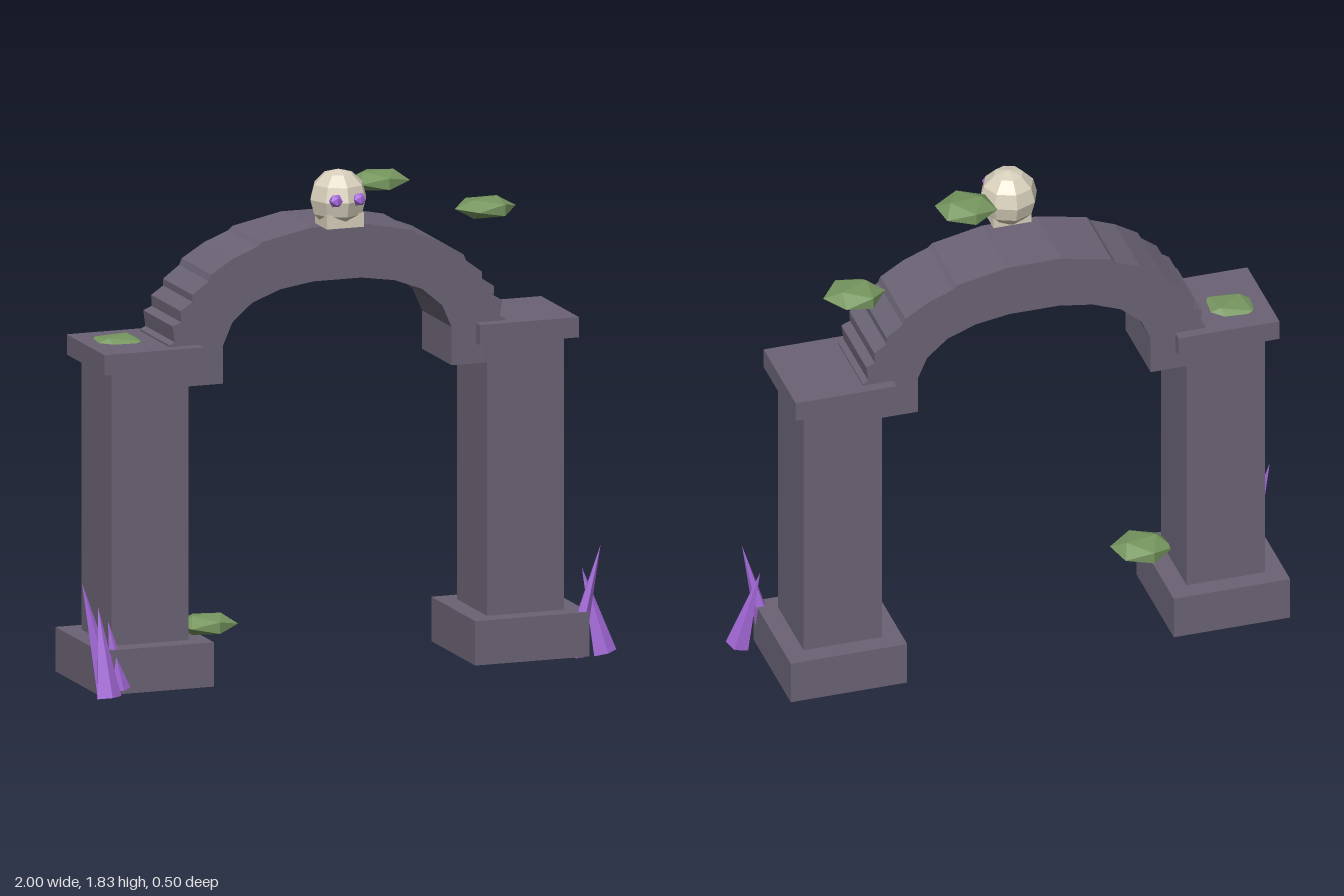
import * as THREE from 'three';

const mat = (name, color) => {
  const m = new THREE.MeshStandardMaterial({ color });
  m.name = name;
  return m;
};

// Faceted copy of a geometry: one normal per face
function faceted(geo) {
  const g = geo.index ? geo.toNonIndexed() : geo;
  g.computeVertexNormals();
  return g;
}

export function createModel() {
  const model = new THREE.Group();
  model.name = 'ruinedArch';
  const stone = mat('stone', 0x6b6375);
  const bone = mat('bone', 0xd8d0bc);
  const crystal = mat('crystal', 0xa468d8);
  const moss = mat('moss', 0x76965f);
  const CX = -0.03; // middle of the arch

  function add(name, geo, material, x, y, z, parent = model) {
    const mesh = new THREE.Mesh(geo, material);
    mesh.name = name;
    mesh.position.set(x, y, z);
    parent.add(mesh);
    return mesh;
  }

  // Pillars: plinth, shaft and cap
  for (const side of [-1, 1]) {
    const pillar = new THREE.Group();
    pillar.name = side > 0 ? 'leftPillar' : 'rightPillar';
    const x = CX + side * 0.707;
    add('plinth', new THREE.BoxGeometry(0.43, 0.16, 0.435), stone, x, 0.1, -0.031, pillar);
    add('shaft', new THREE.BoxGeometry(0.29, 1.0, 0.296), stone, x, 0.67, -0.029, pillar);
    add('cap', new THREE.BoxGeometry(0.372, 0.073, 0.373), stone, x, 1.202, -0.028, pillar);
    model.add(pillar);
  }

  // Arch: half profiles from the crown down, mirrored, with worn steps outside
  const outer = [[0.1, 1.628], [0.285, 1.59], [0.3, 1.575], [0.39, 1.54], [0.475, 1.488],
    [0.485, 1.465], [0.545, 1.42], [0.545, 1.395], [0.59, 1.365], [0.588, 1.325],
    [0.62, 1.312], [0.612, 1.255], [0.632, 1.245], [0.63, 1.092]];
  const inner = [[0.43, 1.092], [0.43, 1.23], [0.395, 1.31], [0.32, 1.375], [0.215, 1.415], [0.09, 1.434]];
  const half = [...outer, ...inner];
  const profile = [...half, ...half.map(([x, y]) => [-x, y]).reverse()];
  const archShape = new THREE.Shape(profile.map(([x, y]) => new THREE.Vector2(x, y)));
  add('arch', new THREE.ExtrudeGeometry(archShape, { depth: 0.292, bevelEnabled: false }),
    stone, CX, 0, -0.176);

  // Skull perched on the crown
  const skull = new THREE.Group();
  skull.name = 'skull';
  skull.position.set(CX, 1.73, 0.125);
  model.add(skull);
  add('cranium', faceted(new THREE.SphereGeometry(0.105, 8, 6)), bone, 0, 0, 0, skull);
  add('jaw', new THREE.BoxGeometry(0.14, 0.05, 0.12), bone, 0, -0.07, 0.012, skull);
  for (const s of [-1, 1]) {
    add('eye', new THREE.IcosahedronGeometry(0.025, 0), crystal, s * 0.044, 0.01, 0.092, skull);
  }

  // Moss clumps: flattened, faceted discs [x, y, z, radius, turn]
  const clumps = [
    [0.153, 1.764, 0.04, 0.113, 0.1],
    [0.62, 1.595, -0.13, 0.113, 0.5],
    [-0.5, 0.218, 0.055, 0.113, 0.2],
    [-0.79, 1.222, -0.06, 0.113, 0.7],
  ];
  for (const [x, y, z, r, turn] of clumps) {
    const geo = new THREE.IcosahedronGeometry(r, 0).rotateY(turn).scale(1, 0.35, 0.92);
    add('mossClump', faceted(geo), moss, x, y, z);
  }

  // Crystal spikes from base to tip
  const up = new THREE.Vector3(0, 1, 0);
  function spike(base, tip, radius) {
    const a = new THREE.Vector3(...base);
    const dir = new THREE.Vector3(...tip).sub(a);
    const geo = new THREE.ConeGeometry(radius, dir.length(), 5).translate(0, dir.length() / 2, 0);
    const mesh = add('crystalSpike', faceted(geo), crystal, ...base);
    mesh.quaternion.setFromUnitVectors(up, dir.normalize());
  }
  spike([-0.915, 0.025, 0.165], [-1.0, 0.42, 0.14], 0.045);
  spike([-0.925, 0.015, 0.2], [-0.945, 0.33, 0.155], 0.047);
  spike([-0.87, 0.035, 0.17], [-0.91, 0.28, 0.16], 0.042);
  spike([0.845, 0.02, 0.145], [0.935, 0.42, 0.185], 0.04);
  spike([0.955, 0.025, 0.165], [0.885, 0.33, 0.13], 0.045);

  return model;
}
